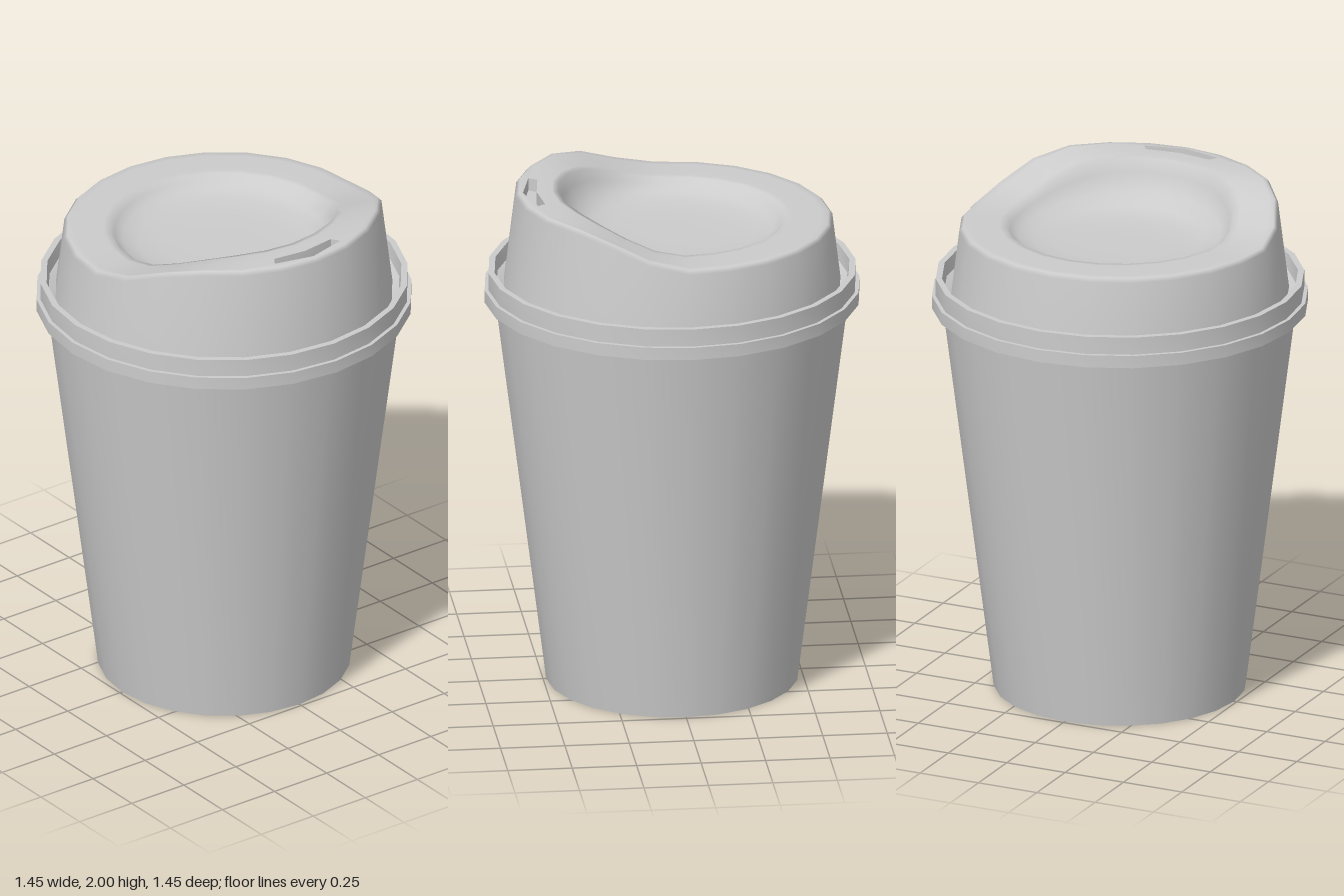
import * as THREE from 'three';
import { toCreasedNormals } from 'three/addons/utils/BufferGeometryUtils.js';

const SEGMENTS = 24;
const SLOT_OUTER = 3; // index of the lid row on the outer edge of the sip slot
const grey = new THREE.MeshStandardMaterial({ color: 0xcccccc });
const greyDouble = new THREE.MeshStandardMaterial({ color: 0xcccccc, side: THREE.DoubleSide });

function lathe(name, profile) {
  const points = profile.map(([r, y]) => new THREE.Vector2(r, y));
  const mesh = new THREE.Mesh(toCreasedNormals(new THREE.LatheGeometry(points, SEGMENTS), 0.6), grey);
  mesh.name = name;
  return mesh;
}

// Height of the lid top: flat on one side, sweeping up to the drinking side
const topHeight = (x) => 1.88 + 0.12 * THREE.MathUtils.smoothstep(x, 0, 0.45);
const wallRadius = (y) => 0.645 - 0.122 * (y - 1.675);

// Top rows as [radius, share of the lid height above the bowl floor]
const BOWL_FLOOR = 1.815;
const TOP_ROWS = [
  [0.578, 1], [0.525, 1], [0.465, 1], [0.44, 0.98], [0.425, 0.7],
  [0.39, 0.33], [0.33, 0.12], [0.24, 0.02], [0.12, 0], [0, 0],
];

// Point of the lid surface on a row (outside to centre) and a column (around)
function lidPoint(row, col) {
  let angle = (col / SEGMENTS) * Math.PI * 2;
  let r, y;
  const edge = topHeight(0.61 * Math.cos(angle));
  if (row === 0) {
    y = 1.6;
    r = wallRadius(y);
  } else if (row === 1) {
    y = edge - 0.014;
    r = wallRadius(y);
  } else if (row === 2) {
    y = edge;
    r = wallRadius(y) - 0.012;
  } else {
    let share;
    [r, share] = TOP_ROWS[row - 3];
    // Tapered ends of the sip slot
    if (row === SLOT_OUTER && (col === 1 || col === SEGMENTS - 1)) {
      r = 0.562;
      angle *= col === 1 ? 1.08 : (SEGMENTS - 1.08) / (SEGMENTS - 1);
    }
    y = THREE.MathUtils.lerp(BOWL_FLOOR, topHeight(r * Math.cos(angle)), share);
  }
  return [r * Math.cos(angle), y, r * Math.sin(angle)];
}

function buildGeometry(positions, index) {
  const geometry = new THREE.BufferGeometry();
  geometry.setAttribute('position', new THREE.Float32BufferAttribute(positions, 3));
  geometry.setIndex(index);
  geometry.computeVertexNormals();
  return geometry;
}

// Lid wall, sloping top and thumb bowl, leaving the sip slot open
function lidShell() {
  const rows = TOP_ROWS.length + 3;
  const positions = [];
  const index = [];
  for (let i = 0; i < rows; i++) {
    for (let j = 0; j < SEGMENTS; j++) positions.push(...lidPoint(i, j));
  }
  for (let i = 0; i < rows - 1; i++) {
    for (let j = 0; j < SEGMENTS; j++) {
      if (i === SLOT_OUTER && (j === 0 || j === SEGMENTS - 1)) continue;
      const k = (j + 1) % SEGMENTS;
      const a = i * SEGMENTS + j, b = i * SEGMENTS + k;
      const c = a + SEGMENTS, d = b + SEGMENTS;
      index.push(a, c, b);
      if (i < rows - 2) index.push(b, c, d);
    }
  }
  const mesh = new THREE.Mesh(buildGeometry(positions, index), grey);
  mesh.name = 'lid';
  return mesh;
}

// Recessed pocket below the sip slot
function sipSlot() {
  const last = SEGMENTS - 1;
  const loop = [
    ...[last, 0, 1].map((c) => lidPoint(SLOT_OUTER, c)),
    ...[1, 0, last].map((c) => lidPoint(SLOT_OUTER + 1, c)),
  ];
  const n = loop.length;
  const positions = [...loop, ...loop.map(([x, y, z]) => [x, y - 0.05, z])].flat();
  const index = [];
  for (let i = 0; i < n; i++) {
    const k = (i + 1) % n;
    index.push(i, k, i + n, k, k + n, i + n);
  }
  // Floor
  index.push(6, 11, 7, 7, 11, 10, 7, 10, 8, 8, 10, 9);
  const geometry = toCreasedNormals(buildGeometry(positions, index), 0.6);
  const mesh = new THREE.Mesh(geometry, greyDouble);
  mesh.name = 'sipSlot';
  return mesh;
}

export function createModel() {
  const group = new THREE.Group();
  group.name = 'takeawayCup';

  // Tapered body with a recessed base
  group.add(lathe('cupBody', [
    [0, 0.1], [0.25, 0.09], [0.4, 0.06], [0.44, 0], [0.488, 0], [0.685, 1.56],
  ]));

  // Stepped lid rim with a trough inside
  group.add(lathe('lidRim', [
    [0.66, 1.555], [0.727, 1.555], [0.727, 1.605], [0.712, 1.605],
    [0.712, 1.675], [0.688, 1.675], [0.68, 1.62], [0.65, 1.605],
  ]));

  group.add(lidShell(), sipSlot());
  return group;
}
